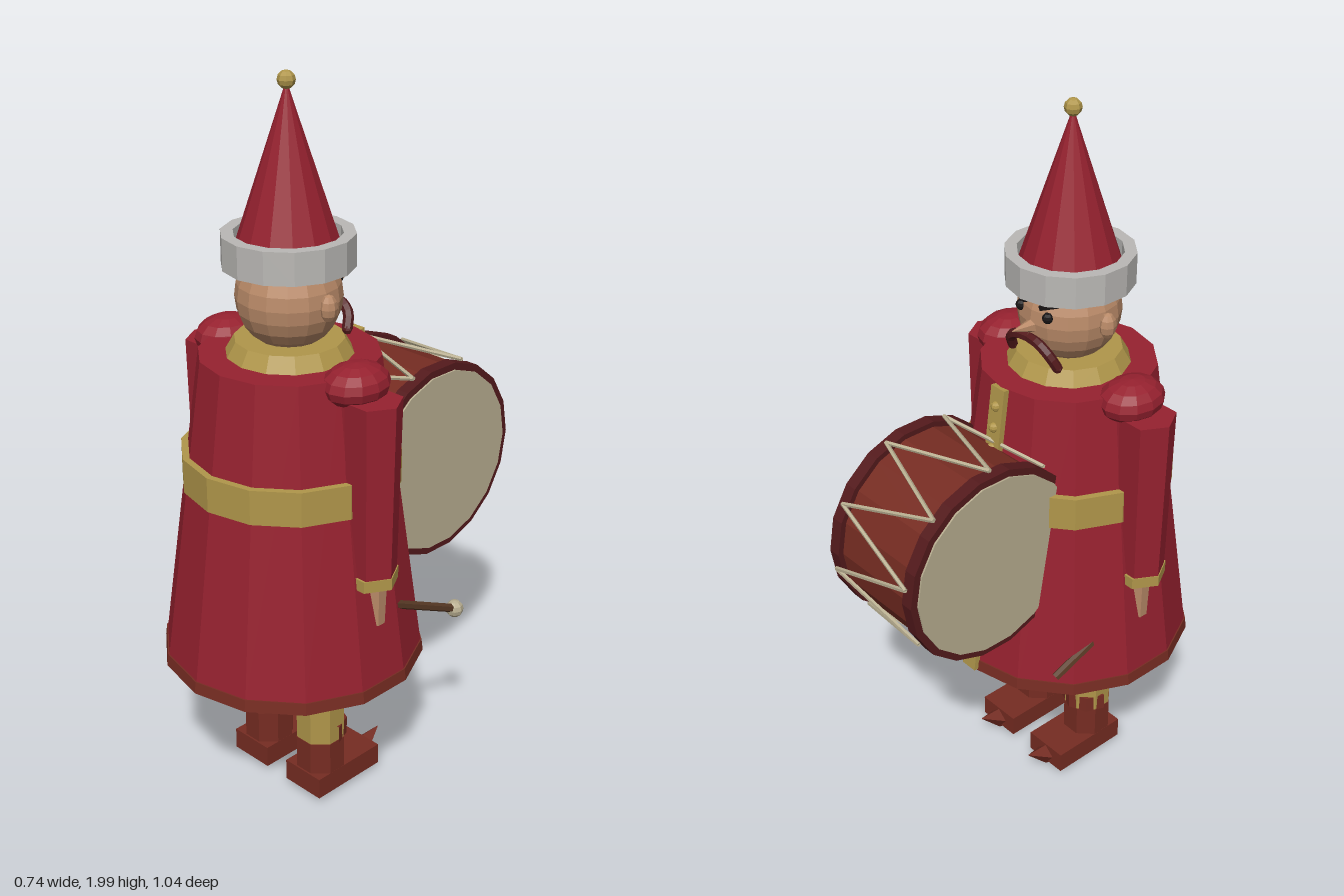
import * as THREE from 'three';

const mat = (name, color) => {
  const m = new THREE.MeshStandardMaterial({ color });
  m.name = name;
  return m;
};

export function createModel() {
  const red = mat('crimson cloth', 0x96212f);
  const gold = mat('gold cloth', 0xb0964a);
  const skin = mat('skin', 0xb98a68);
  const white = mat('hat band grey', 0xbab8b5);
  const brown = mat('red brown leather', 0x762c22);
  const dark = mat('dark hoop red', 0x541a1c);
  const cream = mat('drum skin', 0xb8ae90);
  const wood = mat('stick wood', 0x5a3b26);
  const black = mat('black', 0x181414);

  const model = new THREE.Group();
  const figure = new THREE.Group(); // body axis, faces -z
  figure.name = 'figure';
  figure.position.z = 0.165;
  model.add(figure);

  // Faceted mesh: unshared corners give flat normals
  const add = (parent, name, geo, material, x = 0, y = 0, z = 0) => {
    const g = geo.index ? geo.toNonIndexed() : geo;
    g.computeVertexNormals();
    const m = new THREE.Mesh(g, material);
    m.name = name;
    m.position.set(x, y, z);
    parent.add(m);
    return m;
  };
  // Upright tapered prism between heights y0 and y1
  const prism = (parent, name, material, r0, r1, y0, y1, sides, x = 0, z = 0, turn = 0) => {
    const m = add(parent, name, new THREE.CylinderGeometry(r1, r0, y1 - y0, sides), material, x, (y0 + y1) / 2, z);
    m.rotation.y = turn;
    return m;
  };
  const ball = (parent, name, material, r, x, y, z, w = 8, h = 6) =>
    add(parent, name, new THREE.SphereGeometry(r, w, h), material, x, y, z);
  // Straight rod between two points
  const rod = (parent, name, material, a, b, r, sides = 6, tip = r) => {
    const d = b.clone().sub(a);
    const m = add(parent, name, new THREE.CylinderGeometry(tip, r, d.length(), sides), material);
    m.position.copy(a).addScaledVector(d, 0.5);
    m.quaternion.setFromUnitVectors(new THREE.Vector3(0, 1, 0), d.normalize());
    return m;
  };
  const V = (x, y, z) => new THREE.Vector3(x, y, z);

  // Coat
  prism(figure, 'coat', red, 0.352, 0.236, 0.44, 1.29, 14);
  prism(figure, 'hem', brown, 0.357, 0.353, 0.425, 0.458, 14);
  prism(figure, 'belt', gold, 0.29, 0.29, 0.935, 1.03, 14);
  prism(figure, 'collar', gold, 0.168, 0.142, 1.285, 1.33, 14);

  // Placket and buttons on the sloping front
  const slope = y => -(0.236 + (1.29 - y) * 0.1365);
  const placket = add(figure, 'placket', new THREE.BoxGeometry(0.05, 0.868, 0.022), gold, 0, 0.86, slope(0.86));
  placket.rotation.x = Math.atan(0.1365);
  for (const y of [0.55, 1.12, 1.18, 1.24]) ball(figure, 'button', gold, 0.014, 0, y, slope(y) - 0.011);

  // Head
  ball(figure, 'head', skin, 0.137, 0, 1.44, 0, 16, 12);
  rod(figure, 'nose', skin, V(0, 1.43, -0.12), V(0, 1.437, -0.197), 0.022, 6, 0.001);

  // Hat with an open band and a pointed cap
  const bandShape = [[0.148, 1.52], [0.17, 1.52], [0.17, 1.605], [0.138, 1.605], [0.138, 1.56]];
  add(figure, 'hatBand', new THREE.LatheGeometry(bandShape.map(p => new THREE.Vector2(...p)), 14), white);
  prism(figure, 'hatCone', red, 0.148, 0.004, 1.53, 1.965, 14);
  ball(figure, 'hatBall', gold, 0.023, 0, 1.977, 0);

  // Mirrored parts
  for (const s of [-1, 1]) {
    const side = s > 0 ? 'left' : 'right';

    // Face
    ball(figure, side + 'Ear', skin, 1, s * 0.141, 1.44, 0).scale.set(0.022, 0.036, 0.024);
    ball(figure, side + 'Eye', black, 0.015, s * 0.05, 1.468, -0.122);
    const brow = add(figure, side + 'Brow', new THREE.BoxGeometry(0.055, 0.013, 0.016), black, s * 0.05, 1.5, -0.116);
    brow.rotation.set(0, s * -0.4, s * 0.35);
    const whisker = new THREE.CatmullRomCurve3([
      V(0, 1.4, -0.14), V(s * 0.04, 1.397, -0.143), V(s * 0.073, 1.374, -0.137), V(s * 0.086, 1.338, -0.12)]);
    add(figure, side + 'Moustache', new THREE.TubeGeometry(whisker, 8, 0.014, 6), dark);
    ball(figure, side + 'MoustacheTip', dark, 0.014, s * 0.086, 1.338, -0.12, 6, 4);

    // Arm
    ball(figure, side + 'Shoulder', red, 1, s * 0.236, 1.27, 0, 12, 8).scale.set(0.078, 0.056, 0.095);
    prism(figure, side + 'Sleeve', red, 0.066, 0.075, 0.765, 1.245, 6, s * 0.296, 0, Math.PI / 6);
    prism(figure, side + 'Cuff', gold, 0.073, 0.073, 0.74, 0.772, 6, s * 0.292, 0, Math.PI / 6);
    prism(figure, side + 'Hand', skin, 0.024, 0.029, 0.617, 0.745, 6, s * 0.303, -0.008);

    // Drumstick
    const grip = V(s * 0.303, 0.672, -0.01);
    const tip = s > 0 ? V(0.297, 0.517, -0.33) : V(-0.253, 0.5, -0.268);
    rod(figure, side + 'Drumstick', wood, grip, tip, 0.012);
    if (s > 0) ball(figure, side + 'DrumstickTip', cream, 0.025, tip.x, tip.y, tip.z);

    // Leg and boot
    const x = s * 0.105;
    prism(figure, side + 'Leg', gold, 0.068, 0.074, 0.1, 0.45, 8, x, 0, Math.PI / 8);
    prism(figure, side + 'BootShaft', brown, 0.071, 0.071, 0.08, 0.18, 8, x, 0, Math.PI / 8);
    const flap = new THREE.CylinderGeometry(0.073, 0.073, 0.05, 4, 1, false, Math.PI / 2, Math.PI);
    add(figure, side + 'BootFlap', flap, brown, x, 0.202, 0);
    add(figure, side + 'Shoe', new THREE.BoxGeometry(0.132, 0.062, 0.235), brown, x, 0.053, -0.047);
    rod(figure, side + 'ShoeToe', brown, V(x, 0.042, -0.145), V(x, 0.081, -0.232), 0.04, 4, 0.001);
  }

  // Drum, lying along x
  const drum = new THREE.Group();
  drum.name = 'drum';
  drum.position.set(0, 0.9, -0.238);
  model.add(drum);
  const disc = (name, material, r, x0, x1) => {
    const m = add(drum, name, new THREE.CylinderGeometry(r, r, x1 - x0, 18), material, (x0 + x1) / 2);
    m.rotation.z = Math.PI / 2;
  };
  disc('drumShell', brown, 0.263, -0.15, 0.15);
  for (const s of [-1, 1]) {
    disc('drumHoop', dark, 0.278, s * 0.15 - 0.018, s * 0.15 + 0.018);
    disc('drumSkin', cream, 0.258, s * 0.168 - 0.005, s * 0.168 + 0.005);
  }

  // Zigzag cord
  const peg = i => {
    const a = i * Math.PI / 9;
    return V(i % 2 ? 0.148 : -0.148, 0.281 * Math.cos(a), -0.281 * Math.sin(a));
  };
  for (let i = 0; i < 18; i++) rod(drum, 'drumCord', cream, peg(i), peg(i + 1), 0.006, 5);

  return model;
}
